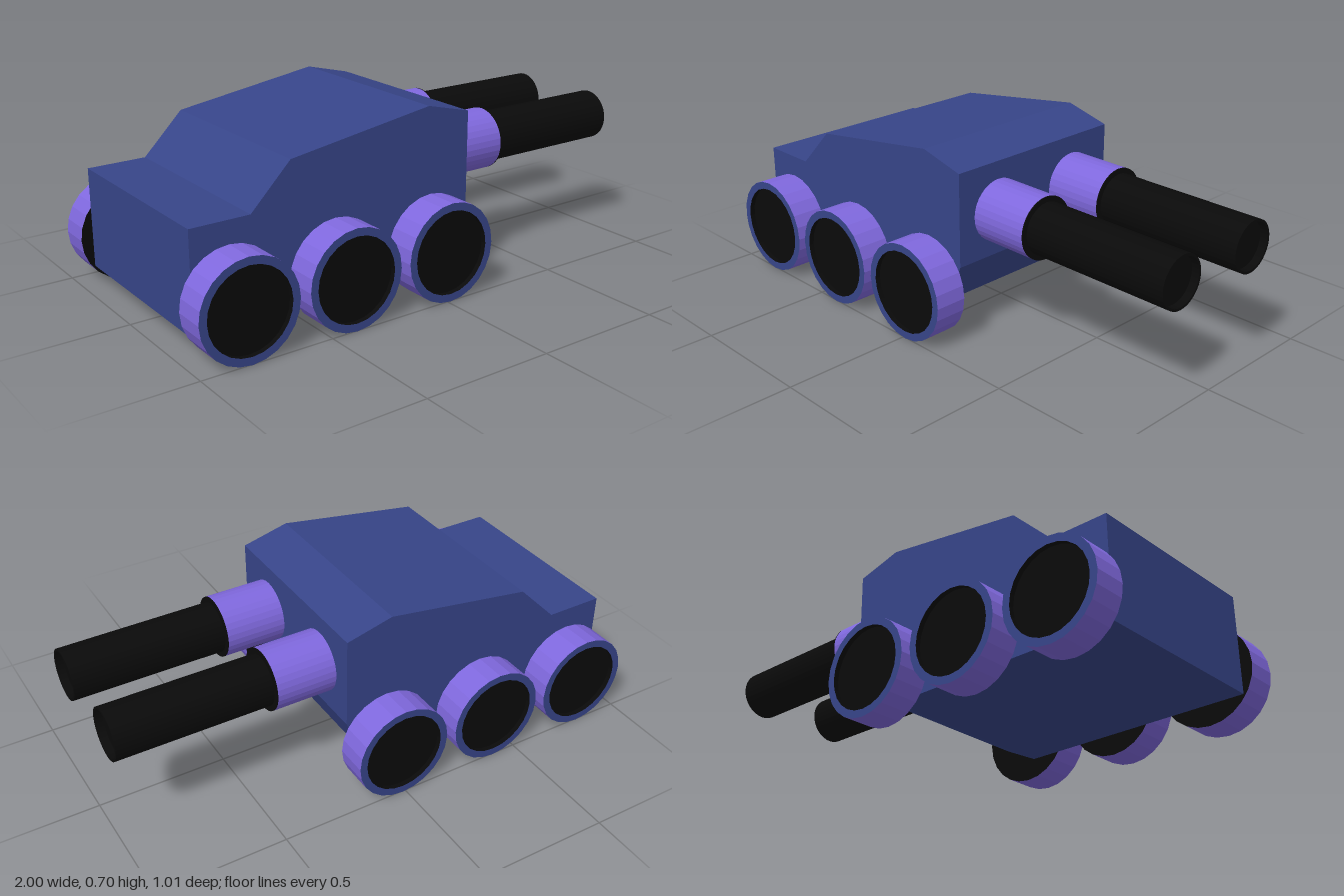
import * as THREE from 'three';

const blue = new THREE.MeshStandardMaterial({ color: 0x374589 });
blue.name = 'hull blue';
const purple = new THREE.MeshStandardMaterial({ color: 0x7f68dd });
purple.name = 'tread purple';
const black = new THREE.MeshStandardMaterial({ color: 0x0a0a0a });
black.name = 'gun black';

function part(name, geometry, material) {
  const mesh = new THREE.Mesh(geometry, material);
  mesh.name = name;
  return mesh;
}

// Lathe around y with hard creases: every profile segment is flat shaded
function turned(points, sides) {
  const profile = points.map(([r, y]) => new THREE.Vector2(r, y));
  const geometry = new THREE.LatheGeometry(profile, sides).toNonIndexed();
  geometry.computeVertexNormals();
  return geometry;
}

// Hull: side profile extruded across the width
function createHull() {
  const halfWidth = 0.378;
  const shape = new THREE.Shape([
    [-0.955, 0.08], [-0.02, 0.08], [0.11, 0.145], [0.18, 0.3], [0.18, 0.655],
    [0, 0.7], [-0.575, 0.613], [-0.73, 0.457], [-0.955, 0.457],
  ].map(([x, y]) => new THREE.Vector2(x, y)));
  const geometry = new THREE.ExtrudeGeometry(shape, { depth: 2 * halfWidth, bevelEnabled: false });
  geometry.translate(0, 0, -halfWidth);
  return part('hull', geometry, blue);
}

// Wheel: its outer side faces +z, its inner side sits at z = 0
function createWheel() {
  const wheel = new THREE.Group();
  const r = 0.187, hub = 0.158, width = 0.126, recess = 0.02, sides = 24;
  const tread = part('tread', turned([[r, 0], [r, width]], sides), purple);
  const rim = part('rim', turned([[r, width], [hub, width]], sides), blue);
  const cup = part('hub', turned([[hub, width], [hub, width - recess], [0, width - recess]], sides), black);
  const back = part('innerSide', turned([[0, 0], [r, 0]], sides), black);
  const spun = new THREE.Group();
  spun.add(tread, rim, cup, back);
  spun.rotation.x = Math.PI / 2;
  wheel.add(spun);
  return wheel;
}

// Gun: collar and barrel, pointing along +x from the hull
function createGun() {
  const gun = new THREE.Group();
  const collar = part('collar', turned([[0.117, 0.16], [0.117, 0.412]], 32), purple);
  const cap = part('collarEnd', turned([[0.117, 0.412], [0.117, 0.416], [0.09, 0.416]], 32), black);
  const barrel = part('barrel', turned(
    [[0.097, 0.41], [0.097, 1], [0.088, 1], [0.088, 0.97], [0, 0.97]], 32), black);
  gun.add(collar, cap, barrel);
  gun.rotation.z = -Math.PI / 2;
  return gun;
}

export function createModel() {
  const model = new THREE.Group();
  model.name = 'armouredCar';
  model.add(createHull());

  for (const side of [1, -1]) {
    const label = side > 0 ? 'Front' : 'Back';
    // Three wheels on each side
    [-0.813, -0.4, 0.012].forEach((x, i) => {
      const wheel = createWheel();
      wheel.name = `wheel${label}${i + 1}`;
      wheel.position.set(x, 0.187, side * 0.378);
      if (side < 0) wheel.rotation.y = Math.PI;
      model.add(wheel);
    });
    // Twin guns
    const gun = createGun();
    gun.name = `gun${label}`;
    gun.position.set(0, 0.47, side * 0.19);
    model.add(gun);
  }
  return model;
}
